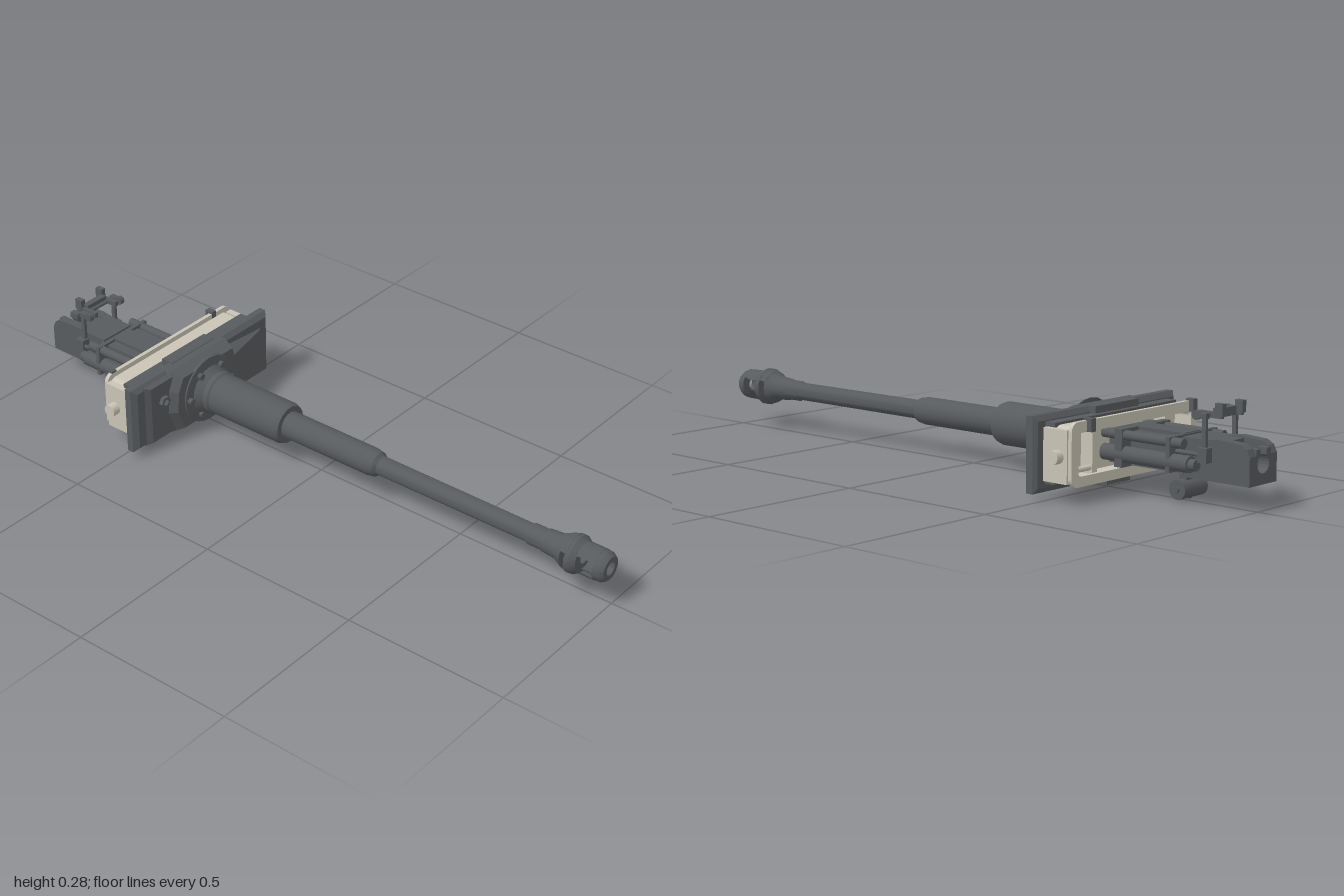
import * as THREE from 'three';
import { toCreasedNormals, mergeVertices } from 'three/addons/utils/BufferGeometryUtils.js';

const steel = new THREE.MeshStandardMaterial({ color: 0x585b5e, side: THREE.DoubleSide });
steel.name = 'dark steel';
const cream = new THREE.MeshStandardMaterial({ color: 0xc9c4b5, side: THREE.DoubleSide });
cream.name = 'cream paint';

const AX = -0.02, AY = 0.127; // gun axis

export function createModel() {
  const model = new THREE.Group();
  model.name = 'gunAndMantlet';

  const add = (name, geo, mat = steel, x = 0, y = 0, z = 0) => {
    const mesh = new THREE.Mesh(geo, mat);
    mesh.name = name;
    mesh.position.set(x, y, z);
    model.add(mesh);
    return mesh;
  };
  // box given by its limits
  const box = (name, x0, x1, y0, y1, z0, z1, mat = steel) =>
    add(name, new THREE.BoxGeometry(x1 - x0, y1 - y0, z1 - z0), mat, (x0 + x1) / 2, (y0 + y1) / 2, (z0 + z1) / 2);
  // cylinder along z between z0 and z1
  const rodZ = (name, r, x, y, z0, z1, mat = steel, sides = 14) =>
    add(name, new THREE.CylinderGeometry(r, r, z1 - z0, sides).rotateX(Math.PI / 2), mat, x, y, (z0 + z1) / 2);
  // cylinder along x between x0 and x1
  const rodX = (name, r, x0, x1, y, z, mat = steel, sides = 14) =>
    add(name, new THREE.CylinderGeometry(r, r, x1 - x0, sides).rotateZ(Math.PI / 2), mat, (x0 + x1) / 2, y, z);
  // profile of [radius, z] turned about the gun axis
  const turned = (name, profile, sides = 20, start = 0, sweep = Math.PI * 2) => {
    const pts = profile.map(([r, z]) => new THREE.Vector2(r, z));
    const geo = new THREE.LatheGeometry(pts, sides, start, sweep).rotateX(Math.PI / 2);
    return add(name, toCreasedNormals(geo, 0.5), steel, AX, AY, 0);
  };
  // flat-sided solid through rings of [x, y, z] points, counterclockwise from the front, back ring first
  const loft = (name, rings, mat = steel) => {
    const n = rings[0].length, idx = [];
    for (let k = 0; k < rings.length - 1; k++) {
      for (let i = 0; i < n; i++) {
        const a = k * n + i, b = k * n + (i + 1) % n;
        idx.push(a, b, b + n, a, b + n, a + n);
      }
    }
    const top = (rings.length - 1) * n;
    for (let i = 1; i < n - 1; i++) idx.push(0, i + 1, i, top, top + i, top + i + 1);
    const geo = new THREE.BufferGeometry();
    geo.setAttribute('position', new THREE.Float32BufferAttribute(rings.flat(2), 3));
    geo.setIndex(idx);
    const flat = geo.toNonIndexed();
    flat.computeVertexNormals();
    return add(name, flat, mat);
  };
  const rect = (x0, x1, y0, y1, z) => [[x0, y0, z], [x1, y0, z], [x1, y1, z], [x0, y1, z]];
  const extrude = (shape, depth) =>
    new THREE.ExtrudeGeometry(shape, { depth, bevelEnabled: false, curveSegments: 8 });
  const roundRect = (P, x0, x1, y0, y1, r) => {
    const s = new P();
    s.absarc(x1 - r, y1 - r, r, 0, Math.PI / 2);
    s.absarc(x0 + r, y1 - r, r, Math.PI / 2, Math.PI);
    s.absarc(x0 + r, y0 + r, r, Math.PI, Math.PI * 1.5);
    s.absarc(x1 - r, y0 + r, r, Math.PI * 1.5, Math.PI * 2);
    s.closePath();
    return s;
  };

  // Barrel, stepping thinner towards the muzzle, with an open bore
  turned('barrel', [[0.077, -0.45], [0.077, -0.405], [0.063, -0.385], [0.063, -0.115], [0.058, -0.1],
    [0.041, -0.1], [0.041, 0.2], [0.037, 0.225], [0.028, 0.235], [0.027, 0.74], [0.031, 0.75],
    [0.031, 0.79], [0.034, 0.8], [0.037, 0.84], [0.05, 0.868], [0.018, 0.868], [0.016, -0.41]]);
  turned('barrelBand', [[0.063, -0.385], [0.067, -0.38], [0.067, -0.365], [0.063, -0.36]]);

  // Double-baffle muzzle brake with ports on both sides
  turned('muzzleBaffle', [[0.057, 0.886], [0.057, 0.9], [0.046, 0.917], [0.02, 0.917], [0.02, 0.886], [0.057, 0.886]], 14);
  turned('muzzleRing', [[0.046, 0.968], [0.045, 0.985], [0.036, 1], [0.02, 1], [0.02, 0.968], [0.046, 0.968]], 14);
  for (const mid of [0, Math.PI]) {
    turned('muzzleBridge', [[0.046, 0.91], [0.046, 0.972], [0.034, 0.972], [0.034, 0.91], [0.046, 0.91]], 7, mid - 1, 2);
    turned('muzzleBridge', [[0.049, 0.864], [0.057, 0.89], [0.038, 0.89], [0.036, 0.864], [0.049, 0.864]], 7, mid - 1.1, 2.2);
  }

  // Mantlet plate with chamfered rim
  loft('mantletPlate', [rect(-0.29, 0.29, 0.035, 0.215, -0.497), rect(-0.3, 0.3, 0.02, 0.23, -0.487),
    rect(-0.3, 0.3, 0.02, 0.23, -0.466), rect(-0.285, 0.286, 0.033, 0.217, -0.452)]);
  loft('mantletLeftStep', [rect(-0.26, -0.14, 0.026, 0.224, -0.455), rect(-0.24, -0.14, 0.033, 0.217, -0.44)]);

  // Raised centre boss
  const boss = (pts, z) => pts.map(([x, y]) => [x, y, z]);
  const bossRim = [[-0.148, 0.02], [0.1, 0.02], [0.14, 0.11], [0.098, 0.23], [-0.148, 0.23], [-0.172, 0.175], [-0.178, 0.1]];
  const bossFace = [[-0.128, 0.04], [0.082, 0.04], [0.113, 0.115], [0.09, 0.213], [-0.128, 0.213], [-0.15, 0.17], [-0.155, 0.105]];
  loft('mantletBoss', [boss(bossRim, -0.48), boss(bossRim, -0.452), boss(bossFace, -0.415)]);

  // Tapering wedge on the left wing
  loft('mantletWedge', [
    [[0.1, 0.098, -0.455], [0.26, 0.115, -0.455], [0.26, 0.192, -0.455], [0.1, 0.205, -0.455]],
    [[0.1, 0.115, -0.42], [0.255, 0.119, -0.448], [0.255, 0.188, -0.448], [0.1, 0.18, -0.42]]]);

  // Coaxial port on the right wing
  const port = new THREE.Shape().absarc(0, 0, 0.019, 0, Math.PI * 2);
  port.holes.push(new THREE.Path().absarc(0, 0, 0.011, 0, Math.PI * 2, true));
  add('coaxialPort', new THREE.ExtrudeGeometry(port, { depth: 0.02, bevelEnabled: false, curveSegments: 3 }),
    steel, -0.19, 0.154, -0.448);

  // Bolted flange round the barrel root
  turned('rootFlange', [[0.108, -0.42], [0.105, -0.411], [0.07, -0.406]], 24);
  for (let i = 0; i < 6; i++) {
    const a = i * Math.PI / 3, x = AX + 0.09 * Math.cos(a), y = AY + 0.075 * Math.sin(a);
    rodZ('flangeBolt', 0.011, x, y, -0.415, -0.396, steel, 6);
  }

  // Dark block behind the plate, under-lip and top lip
  box('mantletBack', -0.26, 0.26, 0.045, 0.212, -0.53, -0.49);
  box('topLip', -0.11, 0.075, 0.212, 0.232, -0.515, -0.475);
  box('underLip', -0.07, 0.03, 0.01, 0.03, -0.52, -0.47);

  // Cream trunnion frame
  const frame = (name, x, y0, y1, rim, z, depth) => {
    const s = roundRect(THREE.Shape, -x, x, y0, y1, 0.025);
    s.holes.push(roundRect(THREE.Path, -x + rim, x - rim, y0 + rim, y1 - rim, 0.012));
    add(name, extrude(s, depth), cream, 0, 0, z);
  };
  frame('frameWalls', 0.26, 0.05, 0.205, 0.018, -0.587, 0.057);
  frame('frameFlange', 0.27, 0.045, 0.22, 0.028, -0.597, 0.012);
  box('framePanel', -0.25, 0.25, 0.055, 0.2, -0.54, -0.528, cream);
  for (const s of [-1, 1]) {
    const span = (a, b) => (s > 0 ? [a, b] : [-b, -a]);
    box('frameCheek', ...span(0.255, 0.275), 0.055, 0.2, -0.585, -0.503, cream);
    rodX('trunnion', 0.019, ...span(0.22, 0.3), AY, -0.555, cream);
    box('frameRib', ...span(0.145, 0.165), 0.06, 0.2, -0.58, -0.535, cream);
    rodX('frameBar', 0.008, ...span(0.16, 0.25), 0.085, -0.57, cream, 8);
    box('frameClip', s * 0.22 - 0.03, s * 0.22 - 0.012, 0.19, 0.226, -0.612, -0.585);
  }

  // Cradle and recoil cylinders
  box('cradle', -0.085, 0.045, 0.08, 0.172, -0.79, -0.53);
  box('cradleTop', -0.055, 0.015, 0.17, 0.182, -0.77, -0.58);
  box('cradleCollar', -0.125, 0.085, 0.078, 0.182, -0.615, -0.59);
  box('cradleEndPlate', -0.125, 0.085, 0.085, 0.18, -0.775, -0.762);
  for (const s of [-1, 1]) {
    rodZ('recoilCylinder', 0.023, AX + s * 0.085, 0.112, -0.83, -0.54);
    rodZ('recoilCap', 0.016, AX + s * 0.085, 0.112, -0.85, -0.82);
    rodZ('upperTube', 0.014, AX + s * 0.088, 0.165, -0.81, -0.54);
    rodZ('guideRod', 0.006, AX + s * 0.075, 0.14, -0.86, -0.77, steel, 8);
    box('breechLug', AX + s * 0.07 - 0.015, AX + s * 0.07 + 0.015, 0.12, 0.16, -0.88, -0.85);
  }

  // Breech: front block, two cheeks and a notched rear wall round an open slot
  box('breechBlock', -0.078, 0.038, 0.07, 0.178, -0.915, -0.785);
  const cheek = new THREE.Shape([[0.86, 0.07], [1, 0.07], [1, 0.148], [0.99, 0.168], [0.97, 0.179], [0.9, 0.183], [0.86, 0.178]]
    .map(([z, y]) => new THREE.Vector2(z, y)));
  for (const x of [-0.08, 0.012]) {
    add('breechCheek', extrude(cheek, 0.028).rotateY(Math.PI / 2), steel, x, 0, 0);
  }
  const wall = new THREE.Shape();
  wall.moveTo(-0.052, 0.07);
  wall.lineTo(0.012, 0.07);
  wall.lineTo(0.012, 0.165);
  wall.lineTo(AX + 0.014, 0.165);
  wall.absarc(AX, 0.125, 0.026, 1, Math.PI - 1, true);
  wall.lineTo(AX - 0.014, 0.165);
  wall.lineTo(-0.052, 0.165);
  wall.closePath();
  add('breechRearWall', extrude(wall, 0.03), steel, 0, 0, -1);

  // Sight bracket above the breech
  for (const x of [-0.064, 0.024]) {
    box('sightHead', x - 0.008, x + 0.008, 0.243, 0.276, -0.905, -0.88);
    box('sightArm', x - 0.006, x + 0.006, 0.236, 0.252, -0.9, -0.825);
  }
  box('sightBridge', -0.06, 0.02, 0.236, 0.26, -0.885, -0.865);
  for (const x of [-0.084, 0.048]) {
    rodX('sightKnob', 0.013, x - 0.007, x + 0.007, 0.243, -0.835);
    box('sightPost', x - 0.005, x + 0.005, 0.15, 0.24, -0.868, -0.855);
    box('sightFoot', x - 0.008, x + 0.008, 0.235, 0.25, -0.87, -0.825);
  }
  rodX('sightAxle', 0.006, -0.09, 0.054, 0.243, -0.86, steel, 8);

  // Elevation roller hanging under the cradle
  rodX('elevationRoller', 0.027, -0.07, 0.03, 0.03, -0.76, steel, 16);
  box('rollerHanger', -0.045, 0.005, 0.03, 0.09, -0.772, -0.748);
  rodX('rollerPin', 0.009, -0.078, 0.038, 0.03, -0.76, steel, 8);
  rodZ('rollerStud', 0.006, AX, 0.006, -0.768, -0.752, steel, 8);

  return model;
}
